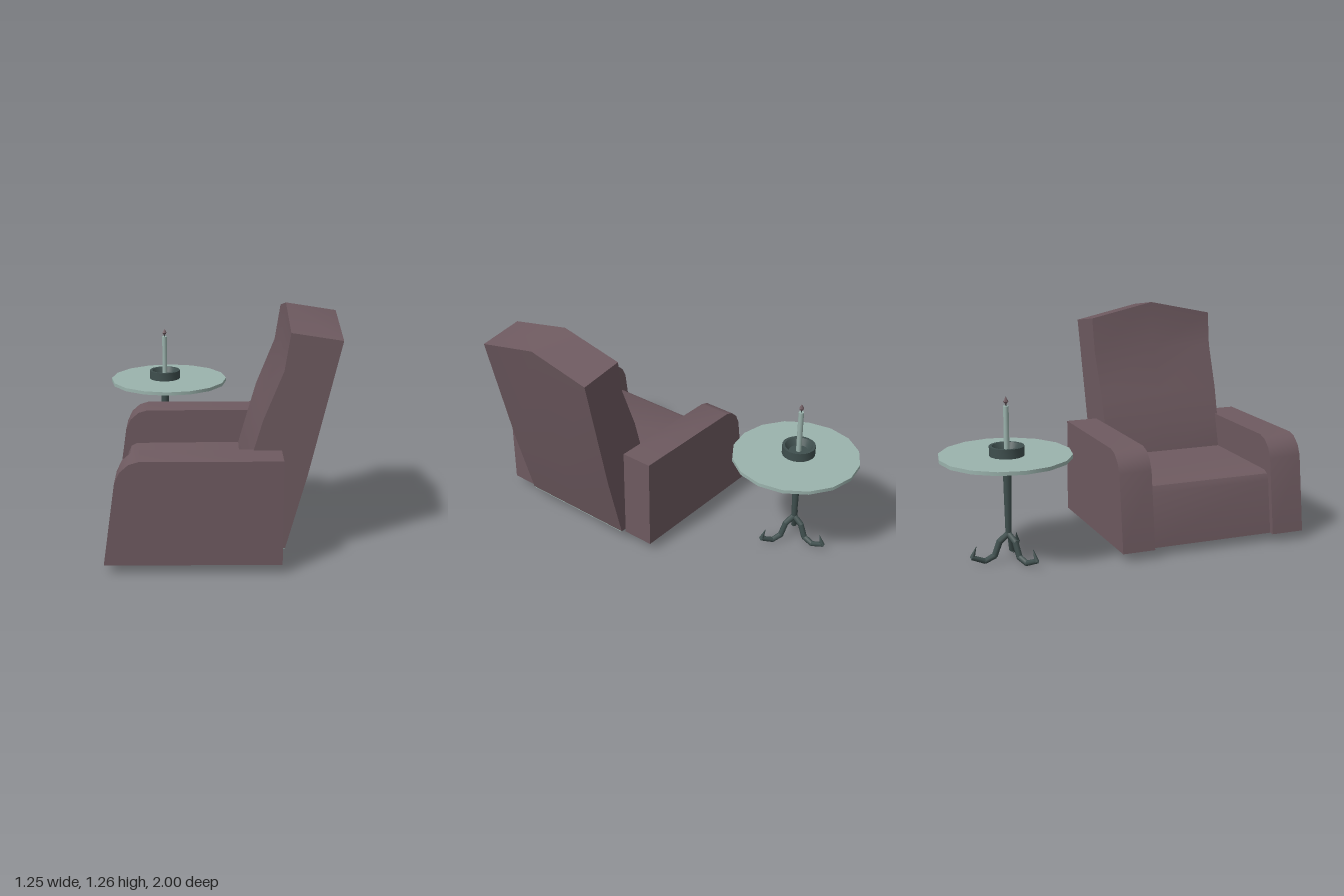
import * as THREE from 'three';
import { toCreasedNormals } from 'three/addons/utils/BufferGeometryUtils.js';

export function createModel() {
  const model = new THREE.Group();
  model.name = 'armchairAndTable';

  const colour = (name, hex) => {
    const m = new THREE.MeshStandardMaterial({ color: hex, side: THREE.DoubleSide });
    m.name = name;
    return m;
  };
  const mauve = colour('mauve', 0x6e5a60);
  const paleTeal = colour('paleTeal', 0x9bb3ad);
  const darkTeal = colour('darkTeal', 0x3f4f4e);

  const add = (parent, name, geometry, material, x = 0, y = 0, z = 0) => {
    const mesh = new THREE.Mesh(geometry, material);
    mesh.name = name;
    mesh.position.set(x, y, z);
    parent.add(mesh);
    return mesh;
  };
  const shape = (pts) => new THREE.Shape(pts.map(([x, y]) => new THREE.Vector2(x, y)));
  const extrude = (pts, depth, steps = 1) =>
    new THREE.ExtrudeGeometry(shape(pts), { depth, steps, bevelEnabled: false });

  // ---- Armchair, facing -x ----
  const chair = new THREE.Group();
  chair.name = 'armchair';
  model.add(chair);

  // Arms: side profile with a rounded front corner
  const armProfile = [
    [-0.55, 0.05], [0.33, 0.05], [0.33, 0.585], [-0.37, 0.585],
    [-0.42, 0.57], [-0.465, 0.53], [-0.49, 0.475],
  ];
  for (const [name, z, depth] of [['frontArm', 0.812, 0.188], ['rearArm', -0.09, 0.185]]) {
    add(chair, name, toCreasedNormals(extrude(armProfile, depth), 0.6), mauve, 0, 0, z);
  }

  // Seat: open shell from the back down to the front hem
  const seatProfile = [
    [0.2, 0.4], [-0.43, 0.395], [-0.46, 0.38], [-0.477, 0.345], [-0.52, 0.05],
  ];
  const seat = new THREE.PlaneGeometry(1, 1, 1, seatProfile.length - 1);
  const seatPos = seat.attributes.position;
  for (let i = 0; i < seatPos.count; i++) {
    const [x, y] = seatProfile[Math.floor(i / 2)];
    seatPos.setXYZ(i, x, y, i % 2 ? 0.812 : 0.095);
  }
  add(chair, 'seat', toCreasedNormals(seat, 0.6), mauve);

  // Backrest: extruded in two halves, widening upwards, with a peaked top
  const backProfile = [
    [0.1, 0.047], [0.355, 0.062], [0.46, 0.45], [0.62, 1.14], [0.365, 1.18],
    [0.335, 0.99], [0.235, 0.74], [0.19, 0.585], [0.135, 0.39],
  ];
  const back = extrude(backProfile, 1, 2);
  const backPos = back.attributes.position;
  for (let i = 0; i < backPos.count; i++) {
    const y = backPos.getY(i);
    const side = (backPos.getZ(i) - 0.5) * 2;
    backPos.setZ(i, 0.46 + side * (0.356 + 0.018 * y));
    if (Math.abs(side) < 0.01 && y > 1.1) backPos.setY(i, y + 0.08);
  }
  add(chair, 'backrest', toCreasedNormals(back, 0.45), mauve);

  // Pale panel under the backrest
  const panel = [[0.1, 0.043], [0.355, 0.058], [0.355, 0.061], [0.1, 0.046]];
  add(chair, 'backrestUnderPanel', extrude(panel, 0.712), paleTeal, 0, 0, 0.104);

  // ---- Side table ----
  const table = new THREE.Group();
  table.name = 'sideTable';
  model.add(table);
  const cx = -0.295, cz = -0.645;

  add(table, 'tableTop', new THREE.CylinderGeometry(0.355, 0.355, 0.02, 16),
    [paleTeal, paleTeal, darkTeal], -0.27, 0.575, cz);
  add(table, 'stem', new THREE.CylinderGeometry(0.025, 0.016, 0.42, 8), darkTeal, cx, 0.355, cz);

  // Three clawed legs, each a chain of tapered segments: [reach, height, radius]
  const legPath = [
    [0, 0.155, 0.017], [0.05, 0.115, 0.017], [0.078, 0.04, 0.017],
    [0.13, 0.017, 0.015], [0.2, 0.045, 0.014], [0.178, 0.1, 0.001],
  ];
  const up = new THREE.Vector3(0, 1, 0);
  for (let k = 0; k < 3; k++) {
    const leg = new THREE.Group();
    leg.name = 'clawLeg' + (k + 1);
    leg.position.set(cx, 0, cz);
    leg.rotation.y = Math.PI / 2 + (k * Math.PI * 2) / 3;
    table.add(leg);
    for (let i = 0; i < legPath.length - 1; i++) {
      const [ax, ay, ar] = legPath[i];
      const [bx, by, br] = legPath[i + 1];
      const dir = new THREE.Vector3(bx - ax, by - ay, 0);
      const segment = add(leg, 'legSegment',
        new THREE.CylinderGeometry(br, ar, dir.length() + 0.006, 7), darkTeal,
        (ax + bx) / 2, (ay + by) / 2, 0);
      segment.quaternion.setFromUnitVectors(up, dir.normalize());
    }
  }

  // ---- Candle in a shallow dish ----
  const candle = new THREE.Group();
  candle.name = 'candle';
  candle.position.set(cx, 0, cz);
  model.add(candle);

  const lathe = (pts, sides) =>
    new THREE.LatheGeometry(pts.map(([r, y]) => new THREE.Vector2(r, y)), sides);
  const dish = lathe([[0.093, 0.585], [0.093, 0.636], [0.078, 0.636], [0.055, 0.6], [0, 0.6]], 20);
  add(candle, 'dish', toCreasedNormals(dish, 0.5), darkTeal);
  add(candle, 'candleStick', new THREE.CylinderGeometry(0.015, 0.015, 0.248, 10), paleTeal, 0, 0.723, 0);
  add(candle, 'wick', new THREE.CylinderGeometry(0.003, 0.003, 0.02, 5), darkTeal, 0, 0.852, 0);
  add(candle, 'flame', toCreasedNormals(lathe([[0, 0.852], [0.014, 0.871], [0, 0.897]], 6), 0.3), mauve);

  return model;
}
